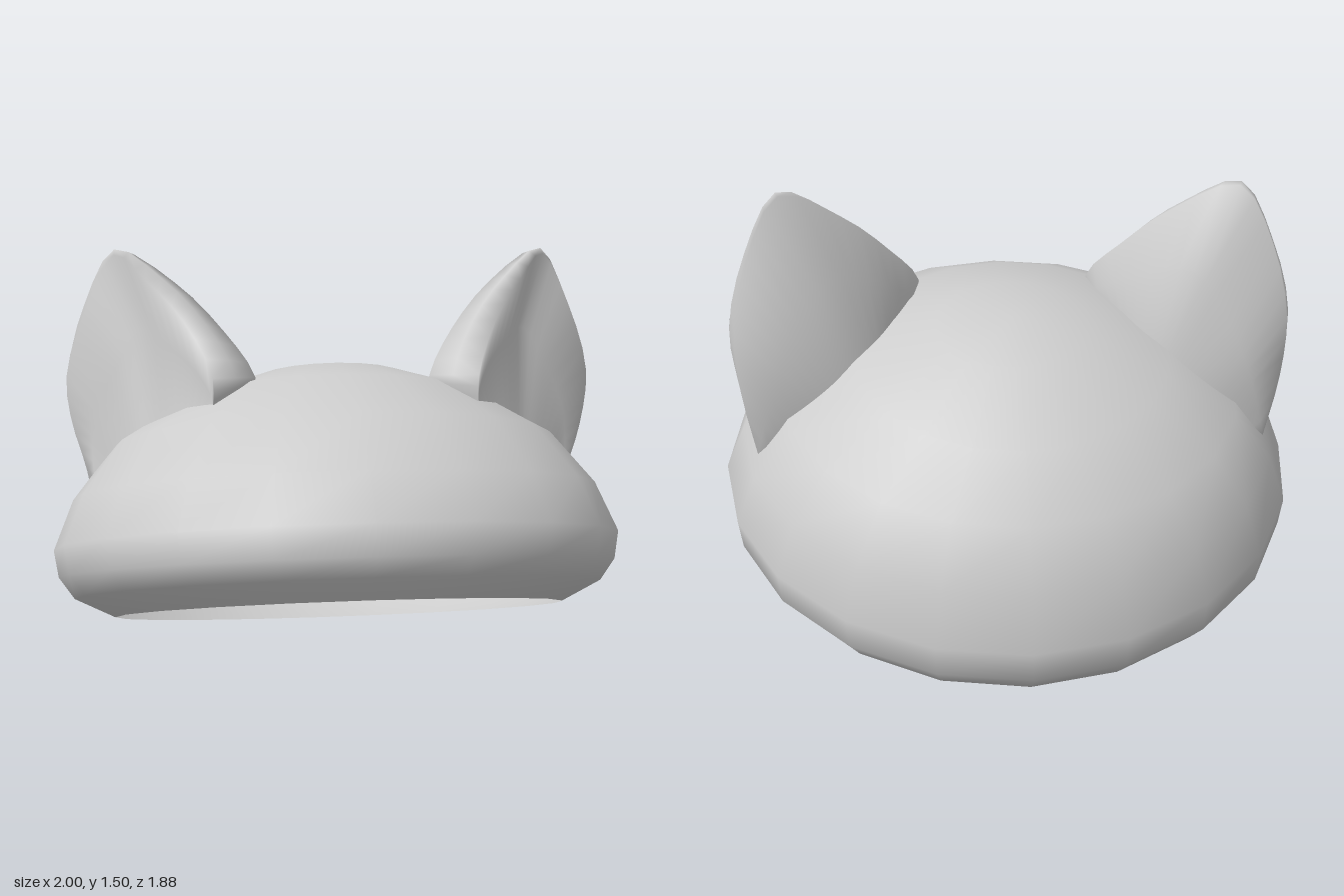
import * as THREE from 'three';
import { mergeVertices } from 'three/addons/utils/BufferGeometryUtils.js';

const V = (x, y, z) => new THREE.Vector3(x, y, z);

// Skin a grid of points (rows of equal length) with smooth normals
function loft(rows, closed, flip) {
  const n = rows[0].length, index = [];
  const cols = closed ? n : n - 1;
  for (let i = 0; i < rows.length - 1; i++) {
    for (let j = 0; j < cols; j++) {
      const k = (j + 1) % n;
      const a = i * n + j, b = i * n + k, c = (i + 1) * n + k, d = (i + 1) * n + j;
      if (flip) index.push(a, d, c, a, c, b);
      else index.push(a, b, c, a, c, d);
    }
  }
  let geo = new THREE.BufferGeometry().setFromPoints(rows.flat());
  geo.setIndex(index);
  geo = mergeVertices(geo, 1e-4);
  geo.computeVertexNormals();
  return geo;
}

// Tilted, hollow dome: each ring runs from a front point to a back point
function capGeometry() {
  // front z, front y, back z, back y, half width
  const rings = [
    [0.84, 0.46, -0.72, 0.0, 0.79],
    [0.92, 0.55, -0.86, 0.035, 0.93],
    [0.945, 0.62, -0.94, 0.11, 0.985],
    [0.925, 0.72, -0.935, 0.2, 1.0],
    [0.8, 0.86, -0.91, 0.4, 0.93],
    [0.57, 1.01, -0.82, 0.59, 0.79],
    [0.28, 1.1, -0.66, 0.78, 0.54],
    [0.02, 1.112, -0.42, 0.97, 0.26],
    [-0.2, 1.065, -0.2, 1.065, 0],
  ];
  const sides = 20;
  const rows = rings.map(([fz, fy, bz, by, w]) =>
    Array.from({ length: sides }, (_, j) => {
      const a = (j / sides) * Math.PI * 2, c = Math.cos(a);
      return V(w * Math.sin(a), (fy + by) / 2 + c * (fy - by) / 2, (fz + bz) / 2 + c * (fz - bz) / 2);
    }));
  return loft(rows, true, false);
}

// Cupped ear: recessed front face, thick arched rim, bulging back
function earGeometry(side) {
  const curve = pts => new THREE.CatmullRomCurve3(pts.map(p => V(...p)));
  const frontRim = curve([
    [0.45, 0.98, 0.28], [0.45, 1.09, 0.28], [0.54, 1.27, 0.14], [0.66, 1.4, 0], [0.77, 1.485, -0.13],
    [0.87, 1.3, -0.13], [0.945, 1.06, -0.14], [0.92, 0.86, -0.12], [0.85, 0.68, -0.07],
  ]);
  const backRim = curve([
    [0.3, 1.0, 0.16], [0.3, 1.08, 0.17], [0.4, 1.23, 0.05], [0.56, 1.39, -0.07], [0.76, 1.495, -0.18],
    [0.87, 1.3, -0.24], [0.92, 1.06, -0.28], [0.91, 0.85, -0.28], [0.87, 0.62, -0.26],
  ]);
  const backFoot = new THREE.QuadraticBezierCurve3(
    backRim.getPoint(0), V(0.415, 1.05, -0.35), backRim.getPoint(1));
  const f0 = frontRim.getPoint(0), f1 = frontRim.getPoint(1);
  const centre = V(0.65, 1.05, 0);
  const steps = 24, rows = [];
  for (let i = 0; i <= steps; i++) {
    const t = i / steps, s = Math.sin(Math.PI * t);
    const F = frontRim.getPoint(t), B = backRim.getPoint(t), backBase = backFoot.getPoint(t);
    const frontBase = f0.clone().lerp(f1, t);
    const frontMid = frontBase.clone().lerp(F, 0.6).addScaledVector(V(-0.65, 0, -0.76), 0.05 * s);
    const rimMid = F.clone().lerp(B, 0.5);
    rimMid.addScaledVector(rimMid.clone().sub(centre).normalize(), 0.015 * s);
    const backMid = B.clone().lerp(backBase, 0.5).addScaledVector(V(-0.6, 0, -0.8), 0.04 * s);
    rows.push([frontBase, frontMid, F, rimMid, B, backMid, backBase]
      .map(p => V(p.x * side, p.y, p.z)));
  }
  return loft(rows, false, side > 0);
}

export function createModel() {
  const model = new THREE.Group();
  model.name = 'earedCap';
  const cloth = new THREE.MeshStandardMaterial({ color: 0xcccccc, side: THREE.DoubleSide });
  cloth.name = 'light grey cloth';

  const add = (name, geo) => {
    const mesh = new THREE.Mesh(geo, cloth);
    mesh.name = name;
    model.add(mesh);
  };
  add('cap', capGeometry());
  add('leftEar', earGeometry(1));
  add('rightEar', earGeometry(-1));
  return model;
}
